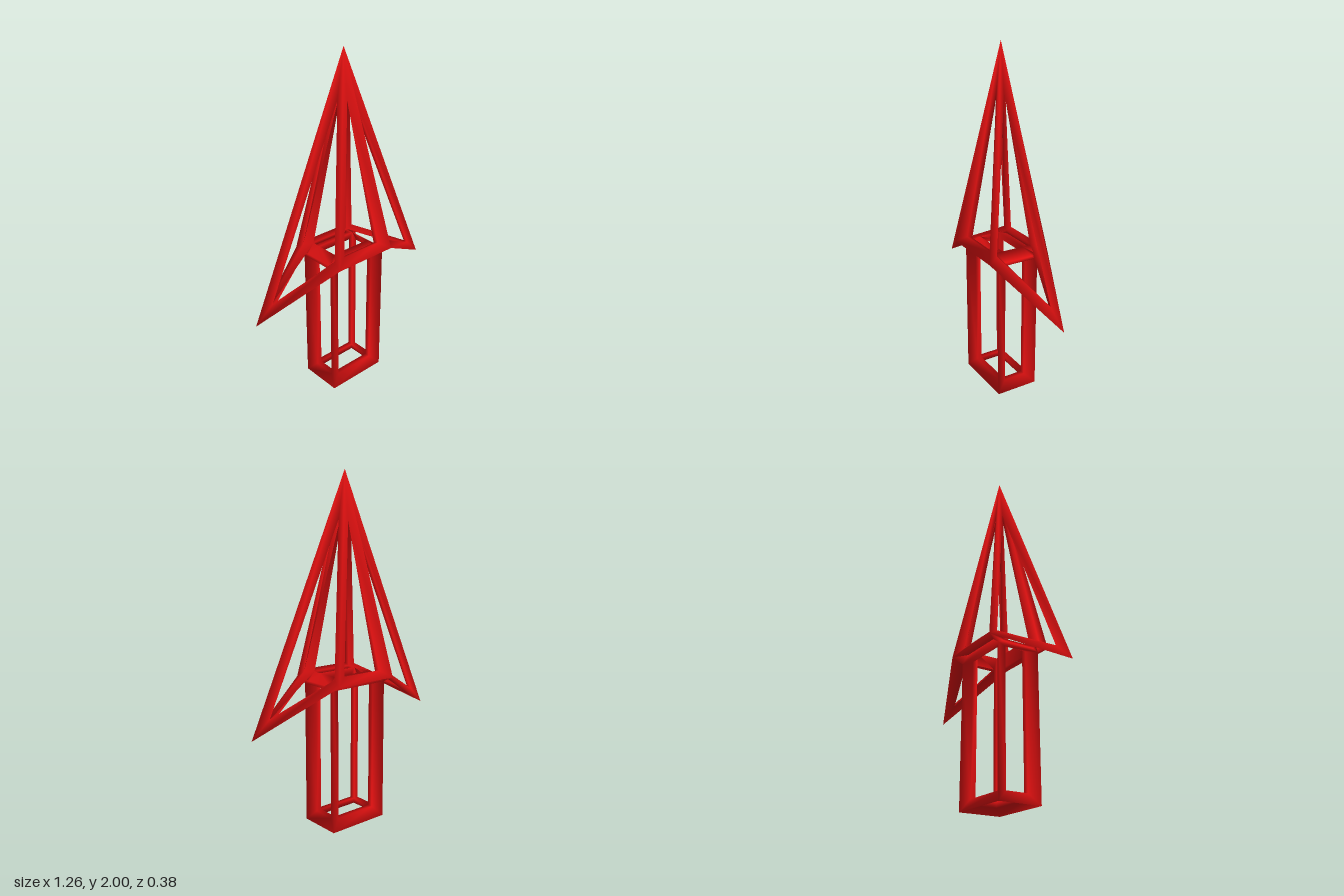
import * as THREE from 'three';

const BAR = 0.03; // half width of a bar

export function createModel() {
  const group = new THREE.Group();
  group.name = 'wireframeArrow';
  const material = new THREE.MeshStandardMaterial({ color: 0xdd1010, side: THREE.DoubleSide });

  const positions = [];
  const push = (v) => positions.push(v.x, v.y, v.z) / 3 - 1;

  // Each corner of the cage has a centre point, an outer point and an inner point.
  const corner = (mid, out, sx = 1, sz = 1) => {
    const s = new THREE.Vector3(sx, 1, sz);
    const m = new THREE.Vector3(...mid).multiply(s);
    const o = new THREE.Vector3(...out).multiply(s);
    const inner = m.clone().multiplyScalar(2).sub(o);
    return { m, o: push(o), i: push(inner) };
  };
  const ring = (mid, out) =>
    [[1, 1], [-1, 1], [-1, -1], [1, -1]].map(([sx, sz]) => corner(mid, out, sx, sz));

  const base = ring([0.158, 0.031, 0.095], [0.188, 0, 0.126]);
  const neck = ring([0.158, 0.85, 0.095], [0.188, 0.82, 0.126]);
  const head = ring([0.163, 0.867, 0.152], [0.198, 0.852, 0.188]);
  const apex = corner([0, 1.92, 0], [0, 2, 0]);
  const tips = [-1, 1].map((s) => corner([0.583, 0.642, 0], [0.632, 0.6, 0], s));

  // Turn one polygon of the cage into a frame: an outer and an inner strip
  // along each edge, meeting at corners inset within the polygon.
  const frame = (loop, index) => {
    const n = loop.length;
    const normal = new THREE.Vector3();
    loop.forEach((c, k) => normal.add(c.m.clone().cross(loop[(k + 1) % n].m)));
    normal.normalize();
    const inward = loop.map((c, k) =>
      normal.clone().cross(loop[(k + 1) % n].m.clone().sub(c.m)).normalize());
    const inset = loop.map((c, k) => {
      const a = inward[(k + n - 1) % n], b = inward[k];
      const t = Math.min(BAR / (1 + a.dot(b)), 0.8);
      return push(a.clone().add(b).multiplyScalar(t).add(c.m));
    });
    loop.forEach((a, k) => {
      const l = (k + 1) % n, b = loop[l], fa = inset[k], fb = inset[l];
      index.push(a.o, b.o, fb, a.o, fb, fa);
      index.push(a.i, fa, fb, a.i, fb, b.i);
    });
  };

  const shaft = [], arrowHead = [], wings = [];

  // Shaft: bottom and four walls
  frame(base, shaft);
  for (let i = 0; i < 4; i++) {
    const j = (i + 1) % 4;
    frame([base[j], base[i], neck[i], neck[j]], shaft);
    if (i % 2 === 0) {
      // Front and back: ledge under the head and tall triangle
      frame([neck[j], neck[i], head[i], head[j]], arrowHead);
      frame([head[j], head[i], apex], arrowHead);
    } else {
      // Wings: underside and two swept faces
      const tip = tips[(i - 1) / 2];
      frame([neck[j], neck[i], head[i], tip, head[j]], wings);
      frame([tip, head[i], apex], wings);
      frame([head[j], tip, apex], wings);
    }
  }

  // Smooth normals are shared by all parts
  const whole = new THREE.BufferGeometry();
  whole.setAttribute('position', new THREE.Float32BufferAttribute(positions, 3));
  whole.setIndex([...shaft, ...arrowHead, ...wings]);
  whole.computeVertexNormals();

  for (const [name, index] of Object.entries({ shaft, arrowHead, wings })) {
    const geometry = new THREE.BufferGeometry();
    geometry.setAttribute('position', whole.getAttribute('position'));
    geometry.setAttribute('normal', whole.getAttribute('normal'));
    geometry.setIndex(index);
    const mesh = new THREE.Mesh(geometry, material);
    mesh.name = name;
    group.add(mesh);
  }
  return group;
}
